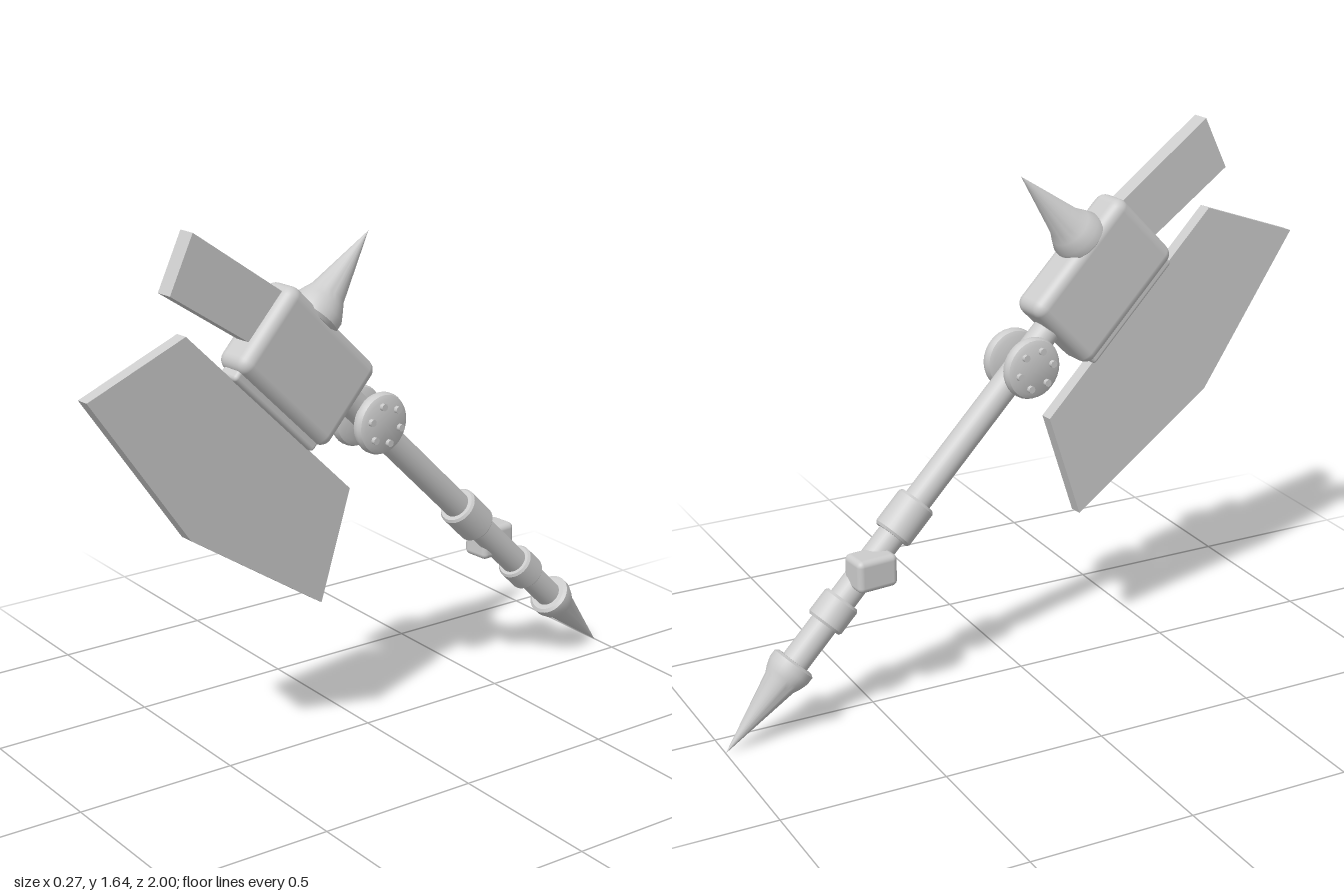
import * as THREE from 'three';
import { toCreasedNormals } from 'three/addons/utils/BufferGeometryUtils.js';
import { RoundedBoxGeometry } from 'three/addons/geometries/RoundedBoxGeometry.js';

export function createModel() {
  const steel = new THREE.MeshStandardMaterial({ color: 0xcccccc });
  steel.name = 'paleSteel';

  // Local frame: +y runs up the handle from the pommel tip, +z towards the blade, x is thickness
  const axe = new THREE.Group();
  axe.name = 'axe';
  axe.rotation.order = 'YXZ';
  axe.rotation.set(THREE.MathUtils.degToRad(45.8), 0.1, 0);
  axe.position.set(-0.088, 0, -1);

  const add = (name, geometry, x = 0, y = 0, z = 0, parent = axe) => {
    const mesh = new THREE.Mesh(geometry, steel);
    mesh.name = name;
    mesh.position.set(x, y, z);
    parent.add(mesh);
    return mesh;
  };
  // Turned part from [radius, height] pairs
  const turned = (profile) => toCreasedNormals(
    new THREE.LatheGeometry(profile.map(([r, h]) => new THREE.Vector2(r, h)), 32), 0.6);
  // Flat plate from [z, y] corners, centred across x
  const plate = (corners, thickness) => {
    const shape = new THREE.Shape(corners.map(([z, y]) => new THREE.Vector2(z, y)));
    const g = new THREE.ExtrudeGeometry(shape, { depth: thickness, bevelEnabled: false });
    return g.translate(0, 0, -thickness / 2).rotateY(-Math.PI / 2);
  };

  // Handle
  add('shaft', new THREE.CylinderGeometry(0.042, 0.042, 1.35, 32), 0, 0.935, 0);
  const collar = (name, y, r, length) => {
    const h = length / 2;
    add(name, turned([[0.03, -h], [r - 0.006, -h], [r, -h + 0.008],
      [r, h - 0.008], [r - 0.006, h], [0.03, h]]), 0, y, 0);
  };
  collar('upperCollar', 0.845, 0.061, 0.125);
  collar('lowerCollar', 0.505, 0.058, 0.09);
  add('pommelSpike', turned([[0, 0], [0.05, 0.25], [0.06, 0.27], [0.068, 0.295],
    [0.068, 0.318], [0.058, 0.325], [0, 0.325]]));

  // Small switch block on one side of the handle
  const block = add('switchBlock', new RoundedBoxGeometry(0.095, 0.1, 0.13, 3, 0.018), -0.034, 0.666, -0.008);
  block.rotation.x = -axe.rotation.x;

  // Pair of bolted pivot discs
  for (const side of [-1, 1]) {
    const pivot = new THREE.Group();
    pivot.name = side > 0 ? 'leftPivot' : 'rightPivot';
    pivot.position.set(0, 1.414, 0);
    pivot.rotation.z = -side * Math.PI / 2;
    axe.add(pivot);
    add('pivotDisc', turned([[0, 0.03], [0.075, 0.03], [0.088, 0.037], [0.093, 0.048],
      [0.093, 0.058], [0.088, 0.069], [0.075, 0.076], [0, 0.076]]), 0, 0, 0, pivot);
    for (let i = 0; i < 6; i++) {
      const a = i * Math.PI / 3 + 0.6;
      add('bolt', new THREE.CylinderGeometry(0.011, 0.011, 0.02, 8),
        Math.cos(a) * 0.058, 0.078, Math.sin(a) * 0.058, pivot);
    }
  }

  // Head block with its blade mount
  add('headBlock', new RoundedBoxGeometry(0.128, 0.435, 0.29, 4, 0.035), 0, 1.752, 0.028);
  add('bladeMount', new RoundedBoxGeometry(0.075, 0.39, 0.07, 2, 0.012), 0, 1.752, 0.164);

  // Blade, mirrored about the middle of the head
  const mid = 1.75;
  add('blade', plate([[0.197, mid - 0.404], [0.511, mid - 0.554], [0.616, mid],
    [0.511, mid + 0.554], [0.197, mid + 0.404]], 0.04));

  // Slanted bar on the end of the head
  add('topBar', plate([[-0.088, 1.94], [0.084, 1.94], [0.148, 2.277], [-0.023, 2.331]], 0.054));

  // Spike behind the head
  const spike = add('backSpike', turned([[0, 0], [0.053, 0.22], [0.066, 0.245], [0.08, 0.275],
    [0.08, 0.3], [0.068, 0.31], [0, 0.31]]), 0, 1.805, -0.404);
  spike.rotation.x = Math.PI / 2;

  const model = new THREE.Group();
  model.name = 'battleAxe';
  model.add(axe);
  return model;
}
